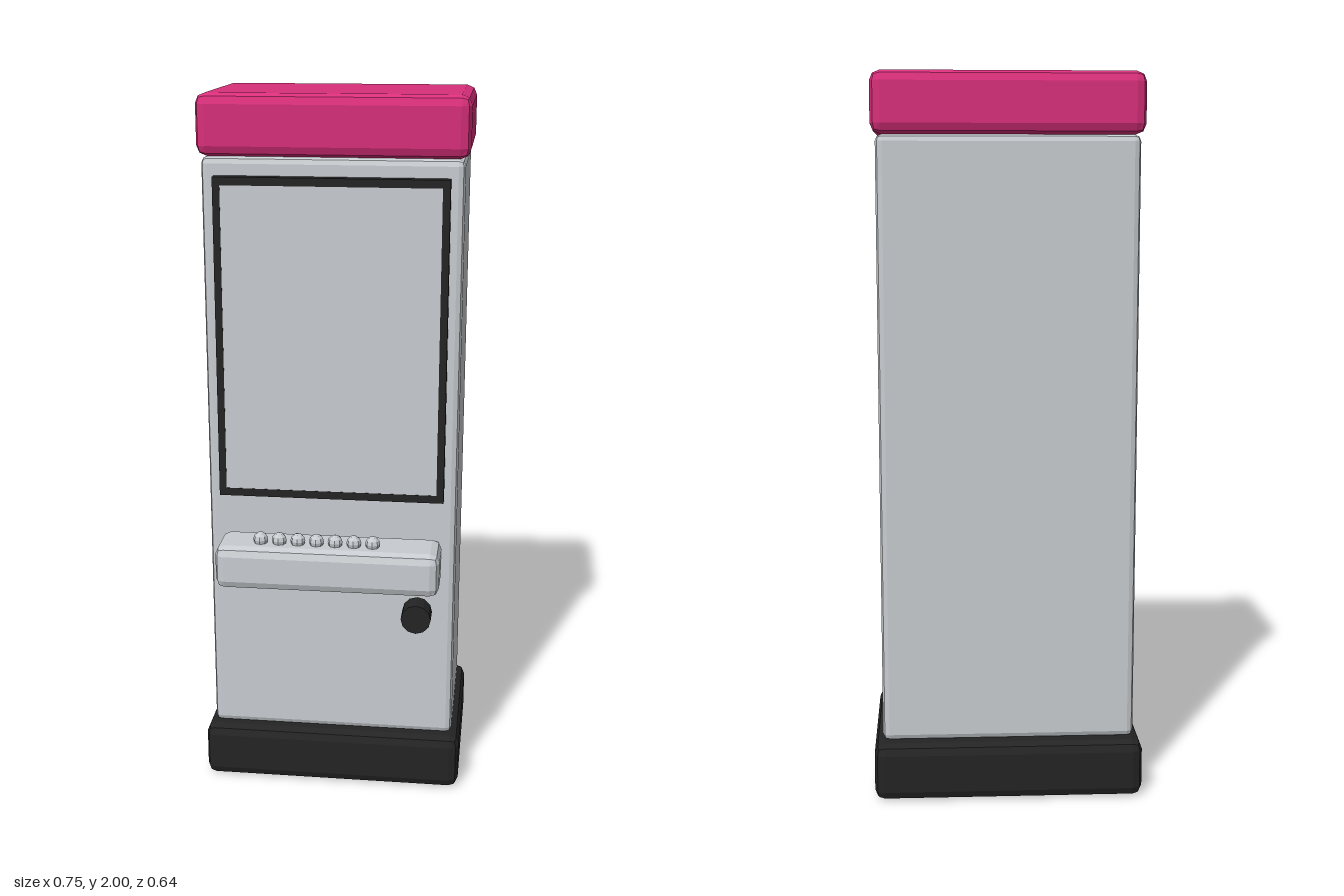
import * as THREE from 'three';
import { RoundedBoxGeometry } from 'three/addons/geometries/RoundedBoxGeometry.js';

export function createModel() {
  const group = new THREE.Group();
  const material = (name, color) => {
    const m = new THREE.MeshStandardMaterial({ color });
    m.name = name;
    return m;
  };
  const grey = material('light grey', 0xc8ccd0);
  const pink = material('pink', 0xd82f7a);
  const black = material('black', 0x232423);

  const add = (name, geometry, mat, x = 0, y = 0, z = 0) => {
    const mesh = new THREE.Mesh(geometry, mat);
    mesh.name = name;
    mesh.position.set(x, y, z);
    group.add(mesh);
    return mesh;
  };
  const faceted = (geometry) => {
    const g = geometry.index ? geometry.toNonIndexed() : geometry;
    g.computeVertexNormals();
    return g;
  };
  // Box with bevelled edges, given by half width and its y and z ranges
  const bevelBox = (name, mat, hx, y0, y1, z0, z1, r) =>
    add(name, faceted(new RoundedBoxGeometry(2 * hx, y1 - y0, z1 - z0, 1, r)), mat,
      0, (y0 + y1) / 2, (z0 + z1) / 2);

  // Cabinet
  bevelBox('base', black, 0.376, 0, 0.162, -0.32, 0.202, 0.028);
  bevelBox('cabinet', grey, 0.353, 0.162, 1.835, -0.276, 0.163, 0.018);
  bevelBox('topCap', pink, 0.366, 1.835, 2, -0.288, 0.172, 0.028);

  // Display: dark frame with a flush panel inside
  const rect = (Type, hx, hy) => new Type([[-hx, -hy], [hx, -hy], [hx, hy], [-hx, hy]]
    .map(([x, y]) => new THREE.Vector2(x, y)));
  const frame = rect(THREE.Shape, 0.316, 0.446);
  frame.holes.push(rect(THREE.Path, 0.296, 0.424));
  add('screenFrame', new THREE.ExtrudeGeometry(frame, { depth: 0.038, bevelEnabled: false }),
    black, 0, 1.34, 0.157);
  add('screen', new THREE.BoxGeometry(0.592, 0.848, 0.037), grey, 0, 1.34, 0.1755);

  // Control shelf with a row of buttons
  bevelBox('controlShelf', grey, 0.313, 0.655, 0.78, 0.157, 0.317, 0.026);
  const buttonGeometry = faceted(new THREE.SphereGeometry(0.021, 8, 6));
  for (let i = 0; i < 7; i++) {
    add('button' + (i + 1), buttonGeometry, grey, -0.19 + i * 0.0525, 0.79, 0.256);
  }

  // Round knob below the shelf
  const knob = new THREE.CylinderGeometry(0.042, 0.042, 0.063, 12);
  knob.rotateX(Math.PI / 2);
  add('knob', faceted(knob), black, 0.25, 0.581, 0.259);

  return group;
}
